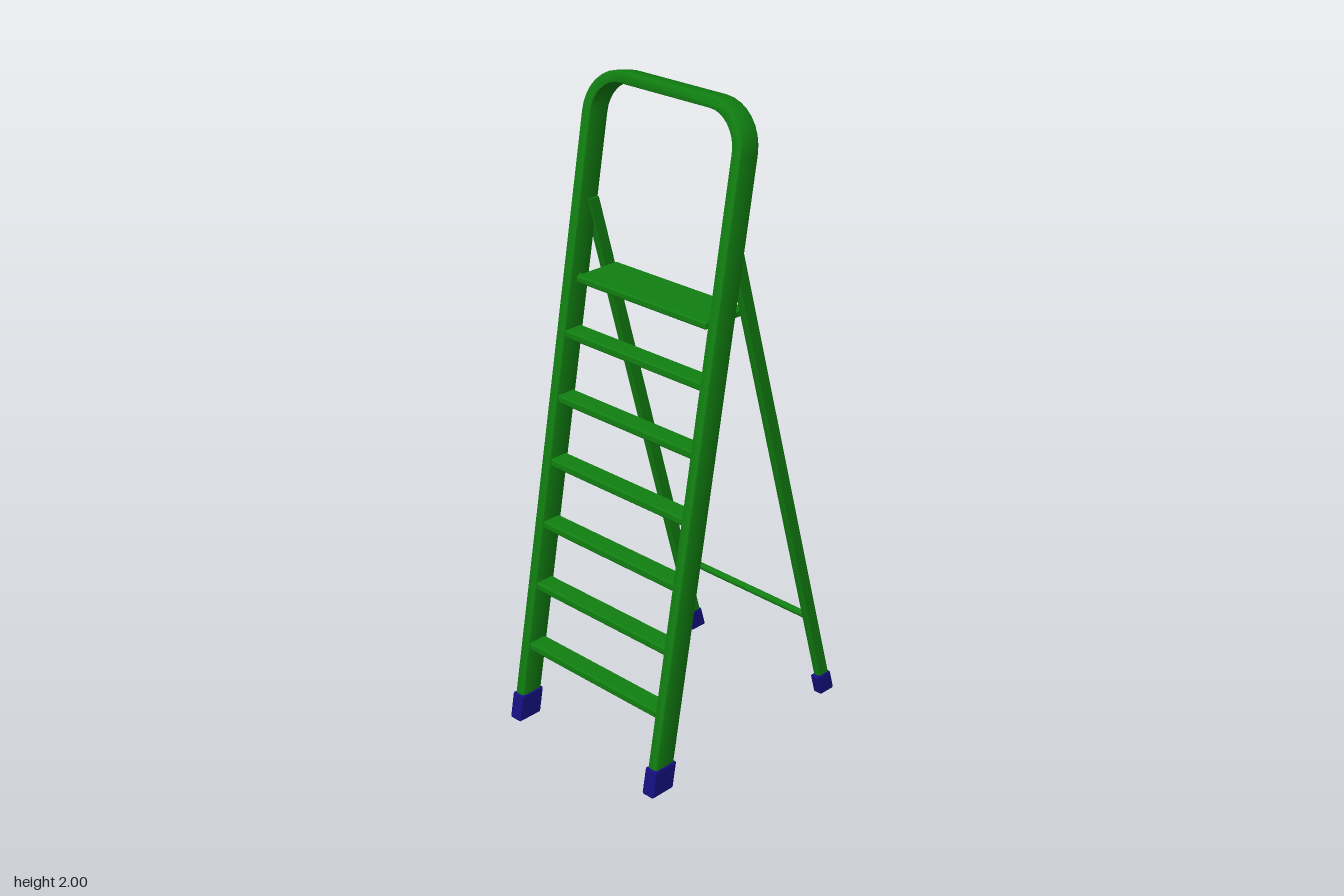
import * as THREE from 'three';
import { toCreasedNormals } from 'three/addons/utils/BufferGeometryUtils.js';
import { RoundedBoxGeometry } from 'three/addons/geometries/RoundedBoxGeometry.js';

const green = new THREE.MeshStandardMaterial({ color: 0x118011 });
const blue = new THREE.MeshStandardMaterial({ color: 0x140f80 });

const FRONT_Z = 0.367; // rail centre at floor level
const FRONT_SLOPE = 0.182; // z lost per unit of height
const REAR_Z = -0.391;
const REAR_SLOPE = 0.278;
const railZ = (y) => FRONT_Z - FRONT_SLOPE * y;
const rearZ = (y) => REAR_Z + REAR_SLOPE * y;

export function createModel() {
  const model = new THREE.Group();
  model.name = 'stepLadder';

  const add = (name, geometry, material, x = 0, y = 0, z = 0) => {
    const mesh = new THREE.Mesh(geometry, material);
    mesh.name = name;
    mesh.position.set(x, y, z);
    model.add(mesh);
    return mesh;
  };
  const box = (w, h, d, r) => new RoundedBoxGeometry(w, h, d, 2, r);

  // Box whose z follows its height, keeping the ends level
  const shearedBox = (w, h, d, r, slope) =>
    box(w, h, d, r).applyMatrix4(
      new THREE.Matrix4().set(1, 0, 0, 0, 0, 1, 0, 0, 0, slope, 1, 0, 0, 0, 0, 1));

  const rod = (length, radius) =>
    new THREE.CylinderGeometry(radius, radius, length, 12).rotateZ(Math.PI / 2);

  // Front frame: both rails and the hoop handle as one bent strip
  const outer = 0.305, inner = 0.27, top = 2.026, radius = 0.136, base = 0.03;
  const t = outer - inner;
  const arcY = top - radius;
  const arcX = outer - radius;
  const hoop = new THREE.Shape();
  hoop.moveTo(outer, base);
  hoop.lineTo(outer, arcY);
  hoop.absarc(arcX, arcY, radius, 0, Math.PI / 2, false);
  hoop.absarc(-arcX, arcY, radius, Math.PI / 2, Math.PI, false);
  hoop.lineTo(-outer, base);
  hoop.lineTo(-inner, base);
  hoop.lineTo(-inner, arcY);
  hoop.absarc(-arcX, arcY, radius - t, Math.PI, Math.PI / 2, true);
  hoop.absarc(arcX, arcY, radius - t, Math.PI / 2, 0, true);
  hoop.lineTo(inner, base);
  const bevel = 0.007, depth = 0.074;
  const frameGeometry = new THREE.ExtrudeGeometry(hoop, {
    depth: depth - 2 * bevel, curveSegments: 4,
    bevelThickness: bevel, bevelSize: bevel, bevelOffset: -bevel, bevelSegments: 2,
  });
  frameGeometry.translate(0, 0, bevel - depth / 2);
  const frame = add('frontFrame', toCreasedNormals(frameGeometry, 0.55), green, 0, 0, FRONT_Z);
  frame.rotation.x = -Math.atan(FRONT_SLOPE);

  // Treads between the rails
  for (let i = 0; i < 6; i++) {
    const y = 0.246 + i * 0.1955;
    add('step' + (i + 1), box(0.55, 0.025, 0.064, 0.006), green, 0, y, railZ(y));
  }

  // Platform and the pin it hangs on
  add('platform', box(0.516, 0.022, 0.163, 0.006), green, 0, 1.39, 0.0615);
  add('platformPin', rod(0.56, 0.007), green, 0, 1.39, railZ(1.39));

  // Rear legs and the feet, mirrored left and right
  for (const side of [1, -1]) {
    const label = side > 0 ? 'left' : 'right';
    add(label + 'RearLeg', shearedBox(0.024, 1.59, 0.046, 0.007, REAR_SLOPE), green,
      side * 0.279, 0.82, rearZ(0.82));
    add(label + 'FrontFoot', shearedBox(0.045, 0.085, 0.086, 0.006, -FRONT_SLOPE), blue,
      side * 0.288, 0.0425, railZ(0.0425));
    add(label + 'RearFoot', shearedBox(0.031, 0.07, 0.062, 0.006, REAR_SLOPE), blue,
      side * 0.28, 0.035, rearZ(0.035) + 0.004);
  }

  // Rear brace
  add('rearBrace', rod(0.55, 0.011), green, 0, 0.297, rearZ(0.297));

  return model;
}
